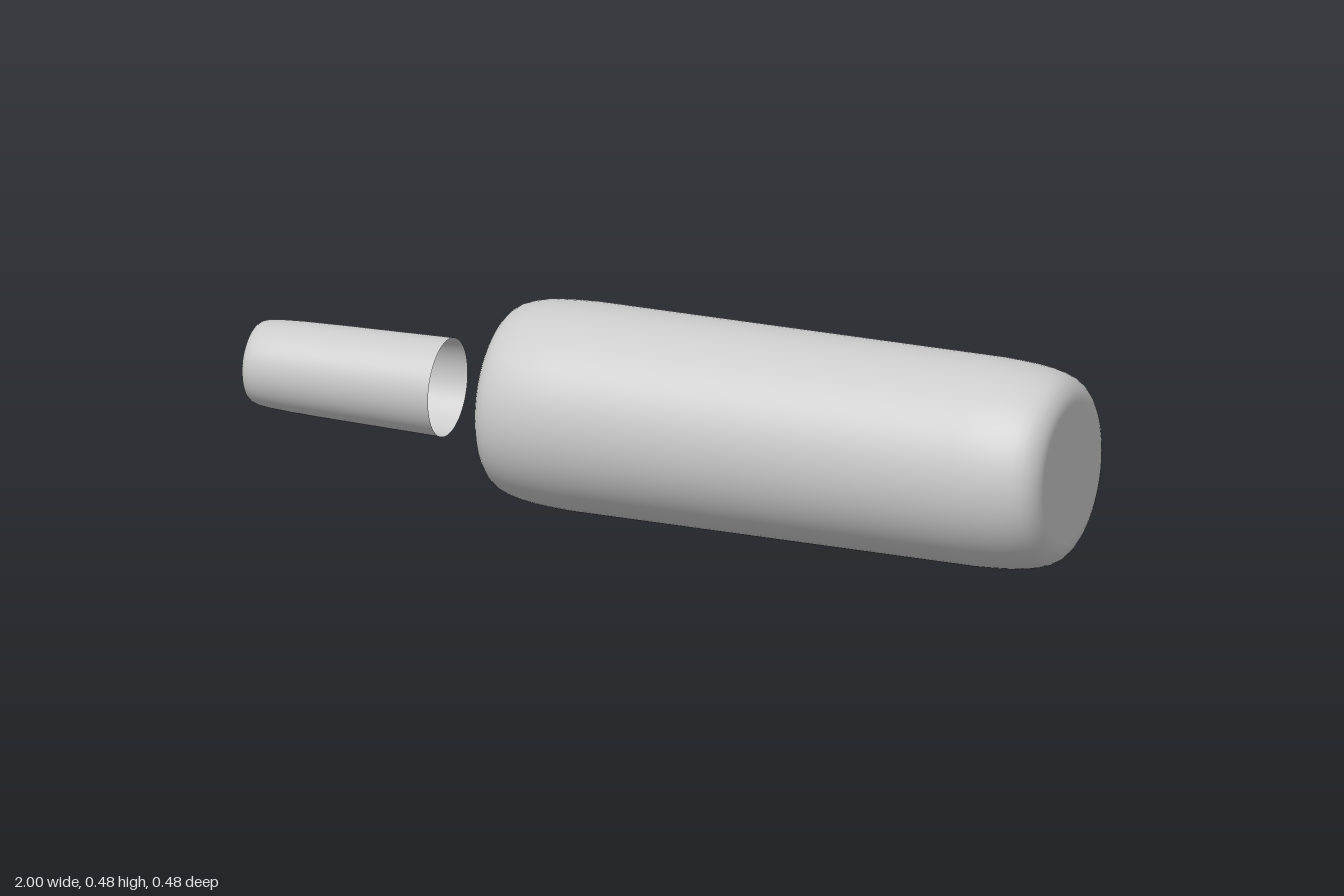
import * as THREE from 'three';

const AXIS_Y = 0.239;

// Revolve [position along x, radius] pairs around the horizontal axis
function turned(name, profile, side) {
  const points = profile.map(([x, r]) => new THREE.Vector2(r, x));
  const geometry = new THREE.LatheGeometry(points, 72);
  geometry.rotateZ(-Math.PI / 2);
  const mesh = new THREE.Mesh(
    geometry,
    new THREE.MeshStandardMaterial({ color: 0xcccccc, side })
  );
  mesh.name = name;
  mesh.position.y = AXIS_Y;
  return mesh;
}

export function createModel() {
  const group = new THREE.Group();
  group.name = 'cylinderAndSleeve';

  // Large solid cylinder: flat ends with a long soft shoulder [inset, radius]
  const shoulder = [
    [0, 0], [0, 0.16], [0.001, 0.172], [0.005, 0.184], [0.012, 0.196], [0.022, 0.207],
    [0.036, 0.216], [0.055, 0.223], [0.08, 0.229], [0.115, 0.234], [0.155, 0.237], [0.2, 0.239],
  ];
  const left = shoulder.map(([d, r]) => [-0.39 + d, r]);
  const right = shoulder.map(([d, r]) => [1 - d, r]).reverse();
  group.add(turned('mainCylinder', [...left, ...right], THREE.FrontSide));

  // Small tapered sleeve: closed at the outer end, open toward the cylinder
  group.add(turned('openSleeve', [
    [-1, 0], [-1, 0.076], [-0.999, 0.083], [-0.995, 0.089], [-0.988, 0.094],
    [-0.975, 0.098], [-0.95, 0.101], [-0.9, 0.104], [-0.8, 0.107], [-0.53, 0.113],
  ], THREE.DoubleSide));

  return group;
}
